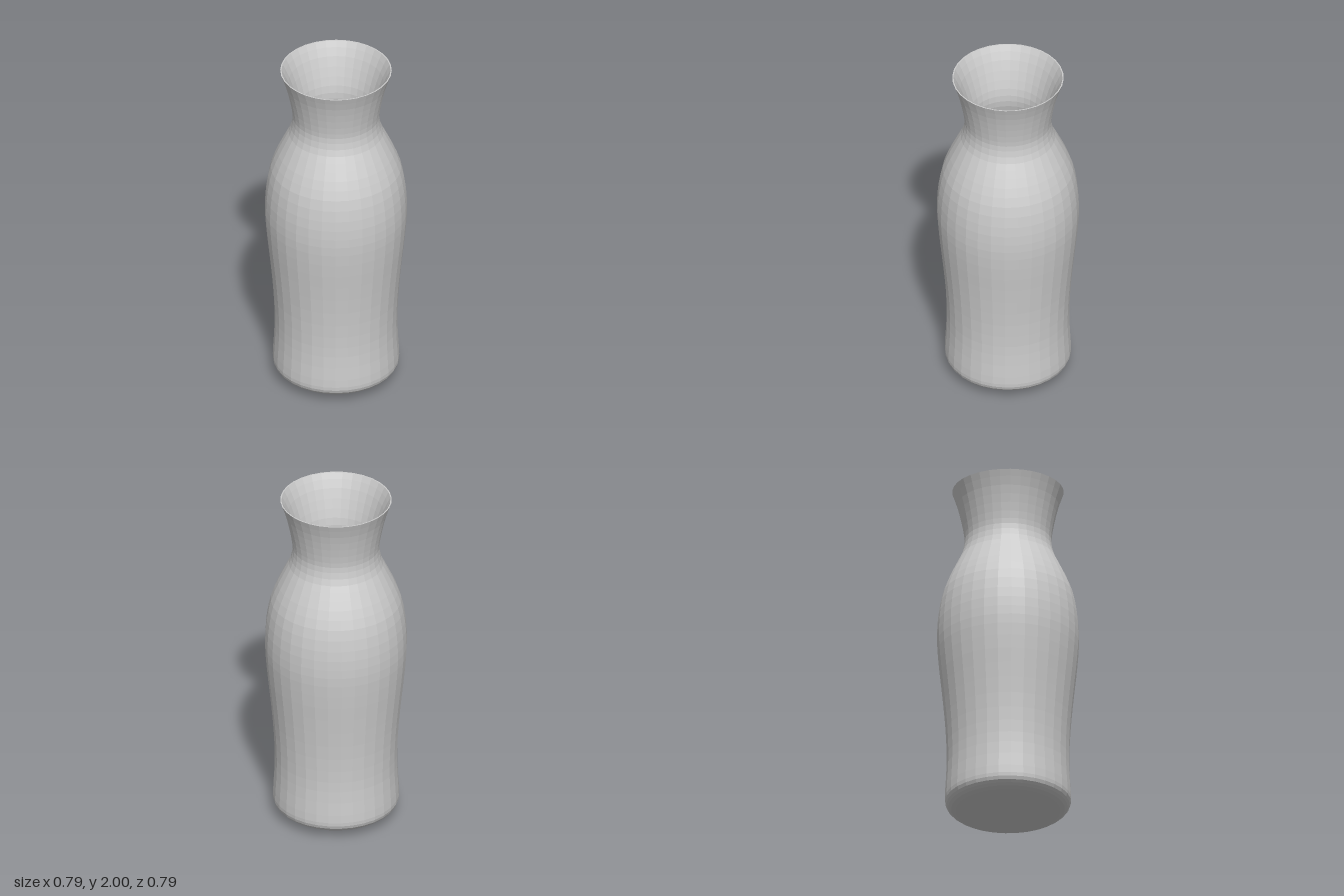
import * as THREE from 'three';

// Outer and inner profiles as [radius, height]
const OUTER = [[0.2, 0.02], [0.29, 0.04], [0.33, 0.06], [0.35, 0.09], [0.352, 0.14], [0.344, 0.28], [0.343, 0.4],
  [0.35, 0.55], [0.365, 0.72], [0.382, 0.88], [0.394, 1.02], [0.396, 1.12], [0.389, 1.23], [0.368, 1.35],
  [0.332, 1.45], [0.29, 1.54], [0.257, 1.61], [0.243, 1.68], [0.246, 1.74], [0.262, 1.83], [0.284, 1.92], [0.311, 2]];
const INNER = [[0.304, 2], [0.27, 1.93], [0.235, 1.83], [0.211, 1.74], [0.207, 1.67], [0.222, 1.6], [0.255, 1.53],
  [0.297, 1.44], [0.333, 1.34], [0.354, 1.22], [0.36, 1.12], [0.358, 1.02], [0.346, 0.88], [0.329, 0.72],
  [0.314, 0.55], [0.307, 0.4], [0.308, 0.28], [0.314, 0.15], [0.3, 0.1], [0.26, 0.075], [0.18, 0.055]];

// Centres of the broken shards; each shard is the part of the wall nearest to its centre
const SHARDS = [
  [-0.25, 0.57, 0.25], [0.09, 0.29, 0.3], [0.09, 0.98, 0.32], [-0.38, 1.15, 0.02], [0.2, 0.2, -0.2],
  [0.33, 0.78, -0.12], [0.32, 1.38, 0.05], [-0.1, 1.52, 0.25], [0.2, 1.6, -0.12], [-0.22, 0.1, -0.12],
  [-0.05, 0.55, -0.33], [0.12, 1.15, -0.34], [-0.2, 1.2, -0.3], [-0.32, 0.62, -0.12], [-0.15, 1.6, -0.15],
  [-0.2, 1.85, 0.15], [0.08, 1.75, 0.24], [0.27, 1.88, 0.08], [0.06, 1.88, -0.25], [-0.23, 1.9, -0.14],
].map((p) => new THREE.Vector3(...p));

const smooth = (pts, n) => new THREE.SplineCurve(pts.map((p) => new THREE.Vector2(...p))).getPoints(n);

// Keep the part of a polygon on the negative side of a plane
function clip(poly, plane) {
  const out = [];
  poly.forEach((a, i) => {
    const b = poly[(i + 1) % poly.length];
    const da = plane.distanceToPoint(a), db = plane.distanceToPoint(b);
    if (da <= 0) out.push(a);
    if ((da < 0 && db > 0) || (da > 0 && db < 0)) out.push(a.clone().lerp(b, da / (da - db)));
  });
  return out;
}

export function createModel() {
  const group = new THREE.Group();
  group.name = 'crackedVase';
  const material = new THREE.MeshStandardMaterial({ color: 0xcccccc, flatShading: true, side: THREE.DoubleSide });

  // Closed hollow body: domed base, outer wall, rim, inner wall, floor
  const profile = [new THREE.Vector2(0, 0), ...smooth(OUTER, 40), ...smooth(INNER, 36), new THREE.Vector2(0, 0.05)];
  const body = new THREE.LatheGeometry(profile, 32).toNonIndexed();
  const pos = body.attributes.position;
  const triangles = [];
  for (let i = 0; i < pos.count; i += 3) {
    triangles.push([0, 1, 2].map((k) => new THREE.Vector3().fromBufferAttribute(pos, i + k)));
  }

  // Cut the body into shards along the planes halfway between neighbouring centres
  SHARDS.forEach((centre, s) => {
    const planes = SHARDS.filter((other) => other !== centre).map((other) =>
      new THREE.Plane().setFromNormalAndCoplanarPoint(
        other.clone().sub(centre).normalize(), other.clone().add(centre).multiplyScalar(0.5)));
    const points = [];
    for (const triangle of triangles) {
      let poly = triangle;
      for (const plane of planes) {
        poly = clip(poly, plane);
        if (poly.length < 3) break;
      }
      for (let k = 1; k + 1 < poly.length; k++) points.push(poly[0], poly[k], poly[k + 1]);
    }
    const geometry = new THREE.BufferGeometry().setFromPoints(points);
    geometry.computeVertexNormals();
    const shard = new THREE.Mesh(geometry, material);
    shard.name = `vaseShard${s + 1}`;
    group.add(shard);
  });
  return group;
}
